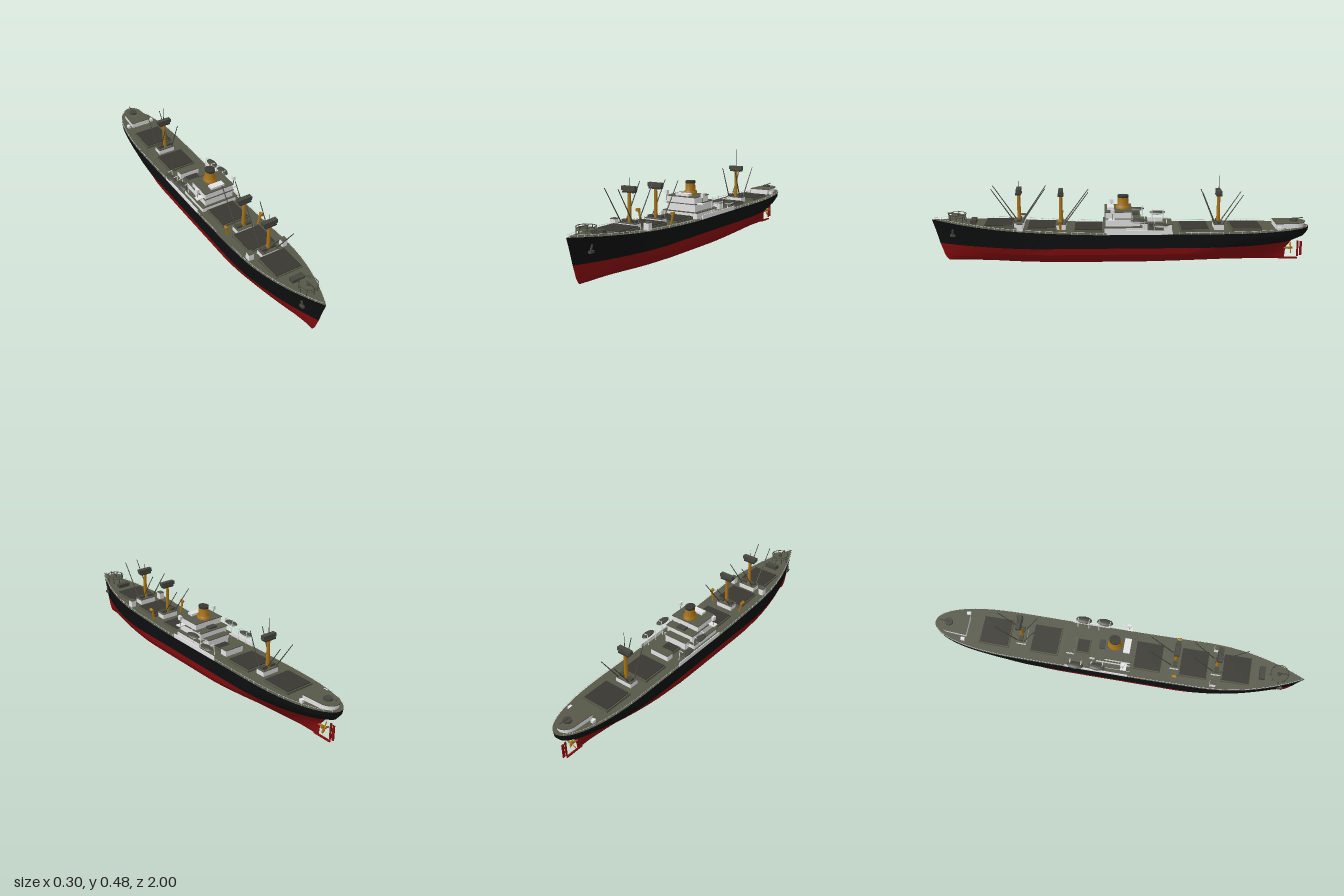
import * as THREE from 'three';

const M = {};
for (const [name, color] of Object.entries({
  hullBlack: 0x0d0e0f, hullRed: 0x850d10, deckGrey: 0x565849, hatchDark: 0x383730,
  white: 0xe2e2e2, buff: 0xa87418, darkMetal: 0x45463d,
})) {
  M[name] = new THREE.MeshStandardMaterial({ color });
  M[name].name = name;
}
M.hullBlack.side = M.hullRed.side = THREE.DoubleSide;

// Deck edge height along the ship
const sheer = z => 0.178 + 0.057 * Math.pow(Math.max(0, (z - 0.1) / 0.9), 1.5)
  + 0.009 * Math.pow(Math.max(0, (-z - 0.5) / 0.5), 2);

// Waterlines: stern end, bow end, half beam, stern taper (start, power, root), bow taper (start, power)
const RED = [
  [0.003, -0.88, 0.92, 0.0, -0.3, 1.5, 1, 0.4, 1.6],
  [0.014, -0.88, 0.93, 0.07, -0.1, 1.3, 1, 0.25, 1.5],
  [0.04, -0.882, 0.94, 0.108, -0.2, 1.5, 1, 0.3, 1.6],
  [0.07, -0.888, 0.95, 0.125, -0.3, 1.8, 0.9, 0.35, 1.7],
  [0.105, -0.915, 0.962, 0.131, -0.4, 2.1, 0.75, 0.4, 1.8],
];
const BLACK = [
  [0, ...RED[4].slice(1)],
  [0.35, -0.975, 0.974, 0.131, -0.45, 2.3, 0.6, 0.42, 1.9],
  [0.7, -0.997, 0.987, 0.131, -0.5, 2.5, 0.52, 0.44, 2.0],
  [1, -1, 1, 0.131, -0.5, 2.5, 0.5, 0.45, 2.1],
];

function halfWidth([, zs, zb, half, s0, sp, sq, b0, bp], z) {
  const s = Math.min(1, Math.max(0, (s0 - z) / (s0 - zs)));
  const b = Math.min(1, Math.max(0, (z - b0) / (zb - b0)));
  return half * Math.pow(Math.max(0, 1 - s ** sp), sq) * (1 - b ** bp);
}

// Skin stretched over a list of [waterline, side] columns
function hullSkin(columns, height, stations = 44) {
  const pos = [], index = [], n = columns.length;
  for (let i = 0; i <= stations; i++) {
    const u = (1 - Math.cos(Math.PI * i / stations)) / 2;
    columns.forEach(([line, side]) => {
      const z = line[1] + (line[2] - line[1]) * u;
      pos.push(side * halfWidth(line, z), height(line, z), z);
    });
  }
  for (let i = 0; i < stations; i++) for (let j = 0; j < n - 1; j++) {
    const a = i * n + j, c = a + n;
    index.push(a, a + 1, c, a + 1, c + 1, c);
  }
  const g = new THREE.BufferGeometry();
  g.setAttribute('position', new THREE.Float32BufferAttribute(pos, 3));
  g.setIndex(index);
  const flat = g.toNonIndexed();
  flat.computeVertexNormals();
  return flat;
}

export function createModel() {
  const ship = new THREE.Group();
  ship.name = 'cargoShip';

  const add = (name, geo, mat, x = 0, y = 0, z = 0) => {
    const m = new THREE.Mesh(geo, mat);
    m.name = name;
    m.position.set(x, y, z);
    ship.add(m);
    return m;
  };
  // Box given by its size, and the centre of its base
  const box = (name, mat, w, h, d, x, y, z) =>
    add(name, new THREE.BoxGeometry(w, h, d), mat, x, y + h / 2, z);
  const bar = (name, mat, a, b, r0, r1 = r0, sides = 6) => {
    const p = new THREE.Vector3(...a), q = new THREE.Vector3(...b);
    const m = add(name, new THREE.CylinderGeometry(r1, r0, p.distanceTo(q), sides), mat);
    m.position.copy(p).lerp(q, 0.5);
    m.quaternion.setFromUnitVectors(new THREE.Vector3(0, 1, 0), q.sub(p).normalize());
    return m;
  };
  const house = (name, w, h, d, y, z, over = 0.008, x = 0) => {
    box(name, M.white, w, h, d, x, y, z);
    box(name + 'Roof', M.deckGrey, w + over, 0.004, d + over, x, y + h, z);
  };

  // Hull and deck
  const redY = (l, z) => l[0] + (l[0] < 0.03 ? 0.01 * Math.max(0, (z - 0.5) / 0.45) : 0);
  const blackY = (l, z) => 0.105 + l[0] * (sheer(z) - 0.105);
  const up = lines => lines.map(l => [l, 1]);
  const down = lines => [...lines].reverse().map(l => [l, -1]);
  add('lowerHull', hullSkin([...down(RED), ...up(RED.slice(1))], redY), M.hullRed);
  add('upperHullLeft', hullSkin(up(BLACK), blackY), M.hullBlack);
  add('upperHullRight', hullSkin(down(BLACK), blackY), M.hullBlack);
  const top = BLACK[3];
  add('deck', hullSkin([[top, 1], [top, -1]], blackY), M.deckGrey);

  // Deck railing
  for (const s of [-1, 1]) {
    const edge = [];
    for (let i = 0; i <= 60; i++) {
      const z = -0.985 + 1.97 * i / 60;
      const p = [s * halfWidth(top, z) * 0.98, sheer(z), z];
      edge.push(new THREE.Vector3(p[0], p[1] + 0.011, z));
      bar('railPost', M.white, p, [p[0], p[1] + 0.011, z], 0.0009, 0.0009, 4);
    }
    add('rail', new THREE.TubeGeometry(new THREE.CatmullRomCurve3(edge), 80, 0.0009, 4), M.white);
  }

  // Rudder, keel shoe and propeller
  box('keelShoe', M.hullRed, 0.008, 0.008, 0.1, 0, 0, -0.9);
  box('rudderPost', M.hullRed, 0.006, 0.085, 0.009, 0, 0.015, -0.95);
  box('rudder', M.hullRed, 0.006, 0.078, 0.012, 0, 0.018, -0.967);
  bar('propellerShaft', M.buff, [0, 0.062, -0.87], [0, 0.062, -0.922], 0.006);
  for (let i = 0; i < 4; i++) {
    const a = i * Math.PI / 2 + 0.4;
    const blade = add('propellerBlade', new THREE.SphereGeometry(1, 8, 6), M.buff,
      -Math.sin(a) * 0.016, 0.062 + Math.cos(a) * 0.016, -0.912);
    blade.scale.set(0.008, 0.016, 0.003);
    blade.rotation.set(0, 0, a);
    blade.rotateY(0.5);
  }

  // Cargo hatches
  for (const [z, w, d] of [[-0.66, 0.16, 0.165], [-0.385, 0.16, 0.155], [0.175, 0.16, 0.155],
    [0.42, 0.16, 0.155], [0.645, 0.155, 0.155], [-0.18, 0.08, 0.075]]) {
    const y = sheer(z) - 0.006;
    box('hatchCoaming', M.deckGrey, w, 0.018, d, 0, y, z);
    box('hatchCover', M.hatchDark, w - 0.012, 0.004, d - 0.012, 0, y + 0.018, z);
  }

  // Masts with crosstrees, winch houses and derrick booms [boom z offset, top height]
  const masts = [
    [0.54, 0.4, 0.44, [[0.14, 0.405], [-0.14, 0.405]]],
    [0.32, 0.39, 0.39, [[-0.145, 0.385]]],
    [-0.515, 0.385, 0.48, [[0.09, 0.38], [-0.125, 0.365]]],
  ];
  for (const [z, h, tip, booms] of masts) {
    const y = sheer(z);
    house('mastHouse', 0.095, 0.03, 0.05, y - 0.004, z, 0.004);
    bar('mast', M.buff, [0, y, z], [0, h - 0.01, z], 0.011, 0.008, 10);
    box('crosstree', M.darkMetal, 0.08, 0.02, 0.024, 0, h - 0.02, z);
    box('crosstreePlatform', M.hatchDark, 0.066, 0.008, 0.03, 0, h - 0.03, z);
    if (tip > h) bar('topmast', M.darkMetal, [0, h, z], [0, tip, z], 0.002, 0.0008);
    for (const s of [-1, 1]) {
      box('winch', M.darkMetal, 0.03, 0.012, 0.022, s * 0.026, y + 0.03, z);
      for (const [dz, by] of booms)
        bar('derrickBoom', M.darkMetal, [s * 0.036, y + 0.03, z + Math.sign(dz) * 0.02],
          [s * 0.039, by, z + dz], 0.0032, 0.002);
    }
  }
  for (const s of [-1, 1]) {
    // Side deck lockers and slanted ventilators
    house('sideLocker', 0.028, 0.036, 0.03, sheer(0.53), 0.53, 0, s * 0.098);
    bar('ventilator', M.buff, [s * 0.09, 0.18, 0.32], [s * 0.104, 0.25, 0.32], 0.006, 0.006, 8);
    bar('ventilatorMouth', M.buff, [s * 0.104, 0.245, 0.312], [s * 0.104, 0.245, 0.334], 0.007, 0.01, 8);
  }

  // Midship superstructure, in tiers
  house('lowerHouse', 0.2, 0.032, 0.19, 0.176, -0.005, 0.014);
  house('middleHouse', 0.168, 0.038, 0.18, 0.212, -0.005, 0.01);
  house('bridge', 0.166, 0.032, 0.135, 0.254, 0.018, 0.008);
  house('aftHouse', 0.11, 0.032, 0.04, 0.178, -0.245, 0.006);
  house('aftStep', 0.13, 0.042, 0.035, 0.178, -0.117, 0.006);
  box('wheelhouseTop', M.white, 0.08, 0.012, 0.035, 0, 0.29, 0.058);
  box('skylight', M.darkMetal, 0.05, 0.01, 0.03, 0, 0.256, -0.075);
  for (const s of [-1, 1]) {
    box('sideBulwark', M.white, 0.004, 0.022, 0.34, s * 0.128, 0.178, -0.09);
    box('bridgeWing', M.white, 0.045, 0.005, 0.03, s * 0.1, 0.25, 0.055);
    box('wingShelter', M.white, 0.014, 0.022, 0.02, s * 0.111, 0.287, 0.05);
    bar('wingSupport', M.darkMetal, [s * 0.111, 0.25, 0.05], [s * 0.111, 0.29, 0.05], 0.0015);
  }

  // Funnel, oval in plan
  const funnel = new THREE.LatheGeometry([[0.034, 0], [0.033, 0.018], [0.026, 0.02], [0.024, 0.06]]
    .map(p => new THREE.Vector2(...p)), 20);
  add('funnel', funnel, M.buff, 0, 0.288, -0.008).scale.z = 1.15;
  add('funnelCap', new THREE.CylinderGeometry(0.026, 0.025, 0.012, 20), M.hatchDark, 0, 0.354, -0.008).scale.z = 1.15;

  // Lifeboats hung from davits
  for (const s of [-1, 1]) for (const [x, y, z] of [[0.13, 0.23, -0.2], [0.126, 0.252, -0.085]]) {
    const hull = new THREE.SphereGeometry(1, 14, 6, 0, Math.PI * 2, Math.PI / 2, Math.PI / 2);
    add('lifeboat', hull, M.white, s * x, y, z).scale.set(0.019, 0.014, 0.042);
    add('lifeboatCover', new THREE.SphereGeometry(1, 14, 4, 0, Math.PI * 2, 0, Math.PI / 2),
      M.darkMetal, s * x, y, z).scale.set(0.021, 0.009, 0.044);
    for (const e of [-0.03, 0.03]) {
      bar('davit', M.white, [s * 0.102, 0.19, z + e], [s * 0.108, y + 0.022, z + e], 0.002);
      bar('davitArm', M.white, [s * 0.108, y + 0.022, z + e], [s * x, y + 0.018, z + e], 0.002);
    }
  }

  // Poop house, rounded at the stern
  const poop = new THREE.Shape();
  poop.moveTo(-0.056, 0).lineTo(0.056, 0).lineTo(0.05, 0.1);
  poop.absellipse(0, 0.1, 0.05, 0.06, 0, Math.PI, false);
  poop.closePath();
  const slab = (name, mat, depth, y, k) => {
    const g = new THREE.ExtrudeGeometry(poop, { depth, bevelEnabled: false, curveSegments: 10 });
    const m = add(name, g, mat, 0, y, -0.815);
    m.rotation.x = -Math.PI / 2;
    m.scale.set(k, k, 1);
  };
  slab('poopHouse', M.white, 0.03, 0.178, 1);
  slab('poopRoof', M.deckGrey, 0.004, 0.208, 1.04);
  add('sternGunTub', new THREE.CylinderGeometry(0.022, 0.022, 0.01, 16), M.darkMetal, 0, 0.217, -0.92);
  bar('sternGun', M.darkMetal, [0, 0.225, -0.91], [0, 0.229, -0.97], 0.0025);
  for (const s of [-1, 1])
    box('sternLocker', M.white, 0.016, 0.02, 0.02, s * 0.075, 0.178, -0.83);

  // Forecastle platform, gun, windlass and bow anchors
  add('bowPlatform', new THREE.CylinderGeometry(0.046, 0.046, 0.005, 20), M.deckGrey, 0, 0.25, 0.865);
  const ring = add('bowPlatformRail', new THREE.TorusGeometry(0.046, 0.002, 5, 24), M.darkMetal, 0, 0.264, 0.865);
  ring.rotation.x = Math.PI / 2;
  for (let i = 0; i < 8; i++) {
    const a = i * Math.PI / 4, x = Math.sin(a) * 0.044, z = 0.865 + Math.cos(a) * 0.044;
    bar('platformPost', M.darkMetal, [x, 0.21, z], [x, 0.264, z], 0.002);
  }
  bar('bowGunMount', M.darkMetal, [0, 0.25, 0.865], [0, 0.264, 0.865], 0.012, 0.007, 10);
  bar('bowGun', M.darkMetal, [0, 0.264, 0.85], [0, 0.268, 0.915], 0.003);
  box('windlass', M.darkMetal, 0.07, 0.022, 0.03, 0, sheer(0.78) - 0.002, 0.78);
  for (const s of [-1, 1]) {
    const z = 0.885, x = s * (halfWidth(BLACK[2], z) + 0.001);
    bar('anchorShank', M.darkMetal, [x + s * 0.003, 0.19, z], [x - s * 0.004, 0.155, z + 0.004], 0.005);
    box('anchorFlukes', M.darkMetal, 0.014, 0.012, 0.026, x - s * 0.002, 0.151, z + 0.002);
  }
  return ship;
}
